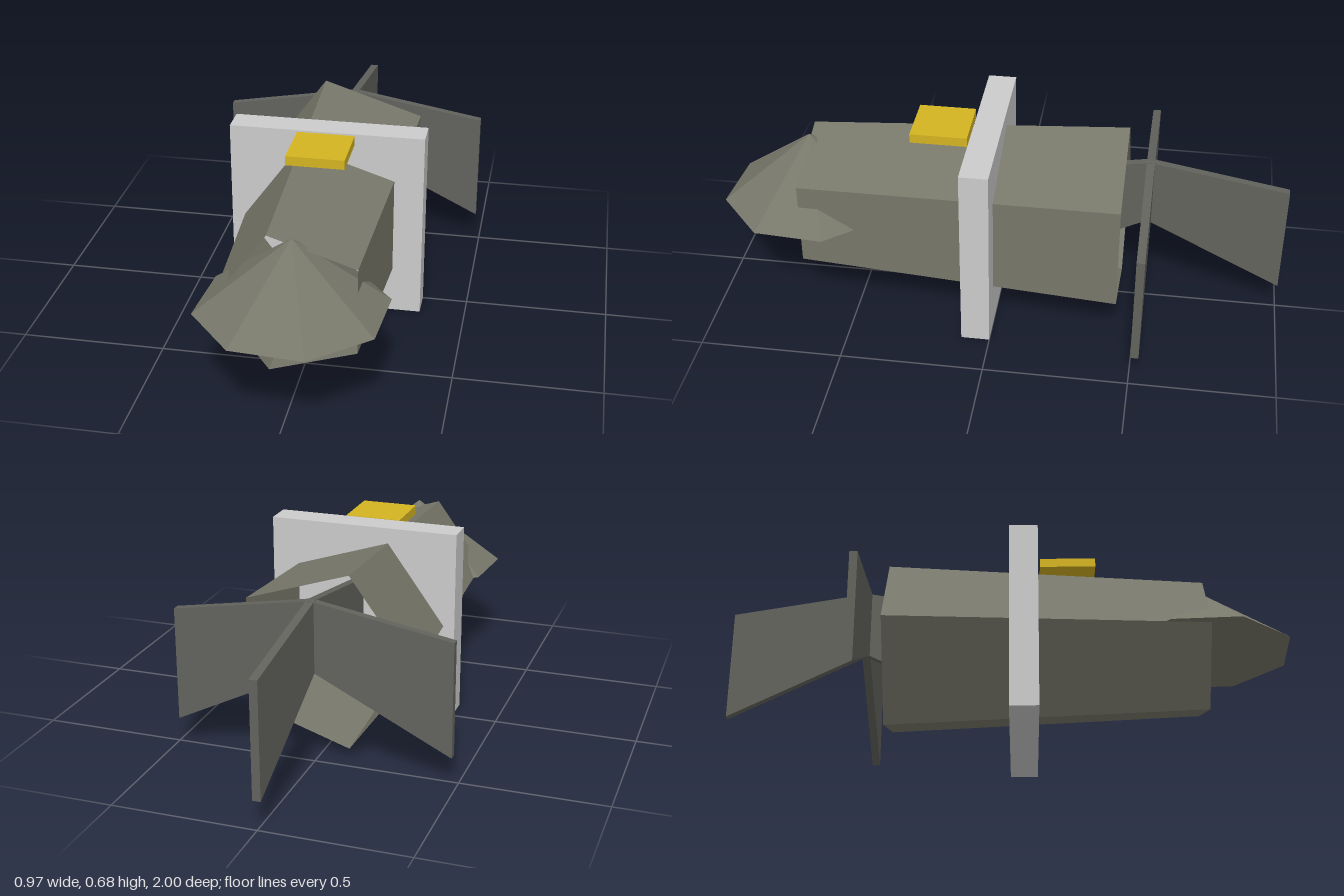
import * as THREE from 'three';

const MID_Y = 0.34; // height of the long axis

function material(color, side = THREE.FrontSide) {
  return new THREE.MeshStandardMaterial({ color, side, flatShading: true });
}

export function createModel() {
  const group = new THREE.Group();
  const add = (name, geometry, mat, x, y, z, parent = group) => {
    const mesh = new THREE.Mesh(geometry, mat);
    mesh.name = name;
    mesh.position.set(x, y, z);
    parent.add(mesh);
    return mesh;
  };

  const olive = material(0x77776a, THREE.DoubleSide);
  const dark = material(0x62625d);

  // Hull: open five-sided tube, narrower at the front
  const hull = new THREE.CylinderGeometry(0.26, 0.325, 1.13, 5, 1, true, -Math.PI / 2);
  hull.rotateX(Math.PI / 2);
  add('hull', hull, olive, 0, MID_Y, 0.13);

  // Nose: upright eight-sided cone at the front opening
  const nose = new THREE.ConeGeometry(0.32, 0.245, 8, 1, false, 0.32);
  add('nose', nose, olive, 0, MID_Y + 0.1225, 0.695);

  // Square collar around the hull
  add('collar', new THREE.BoxGeometry(0.68, 0.68, 0.1), material(0xcccccc), 0, MID_Y, 0.05);

  // Hatch plate above the hull
  add('hatch', new THREE.BoxGeometry(0.2, 0.033, 0.2), material(0xd4b422), 0, 0.662, 0.21);

  // Tail: four swept fins crossing on one upright axis
  const tail = new THREE.Group();
  tail.name = 'tail';
  tail.position.set(0, 0, -0.517);
  group.add(tail);
  const outline = new THREE.Shape([[0, 0.34], [0.483, 0.1], [0.483, 0.5], [0, 0.583]]
    .map(([u, v]) => new THREE.Vector2(u, v)));
  const fin = new THREE.ExtrudeGeometry(outline, { depth: 0.028, bevelEnabled: false });
  fin.translate(0, 0, -0.014);
  for (let i = 0; i < 4; i++) {
    add('tailFin', fin, dark, 0, 0, 0, tail).rotation.y = i * Math.PI / 2;
  }

  return group;
}
